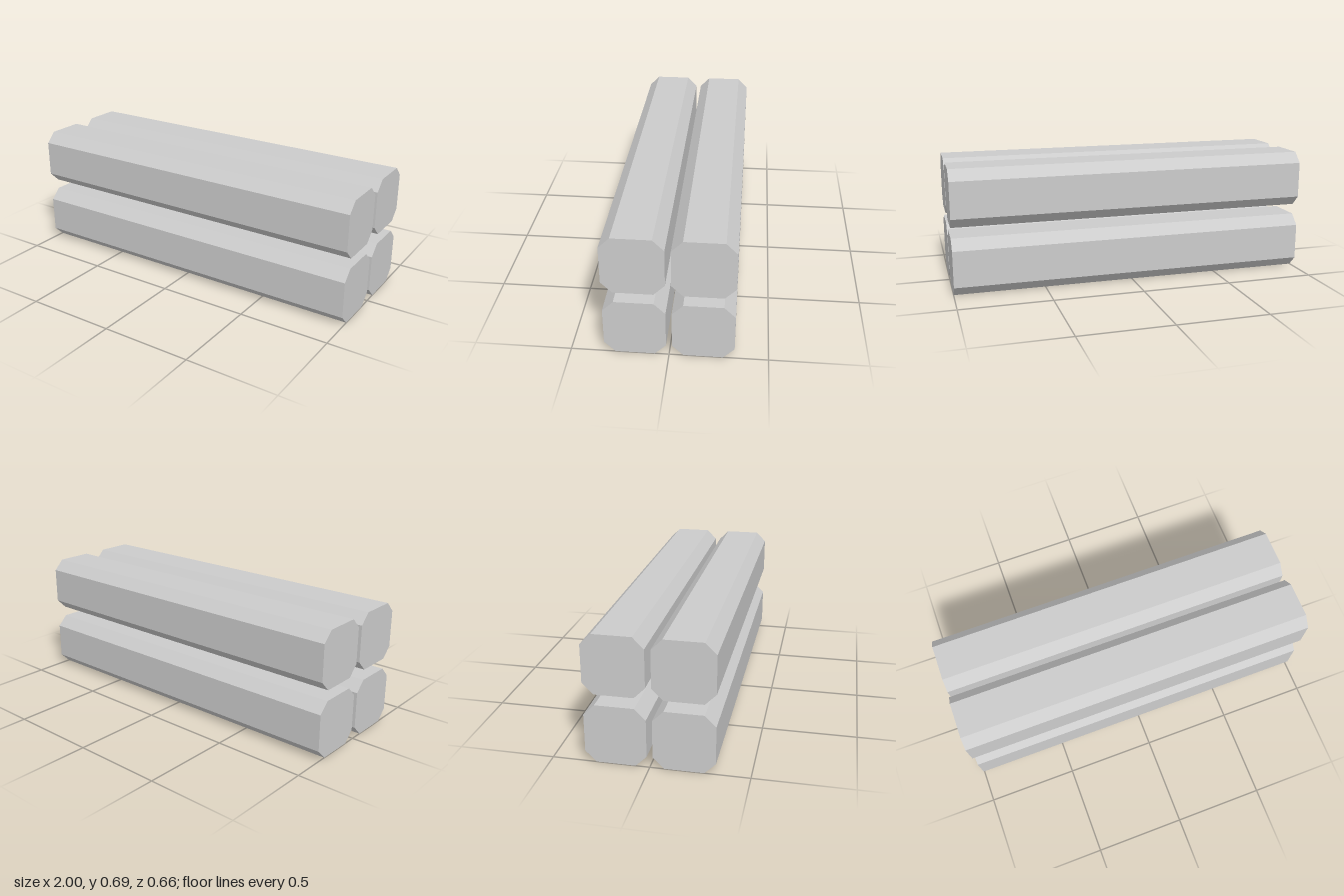
import * as THREE from 'three';

const LENGTH = 2, HALF = 0.157, CHAMFER = 0.057;

// Bar: a square section with cut corners, running along x
function barGeometry() {
  const a = HALF, b = HALF - CHAMFER;
  const section = new THREE.Shape([
    [a, -b], [a, b], [b, a], [-b, a], [-a, b], [-a, -b], [-b, -a], [b, -a],
  ].map(([x, y]) => new THREE.Vector2(x, y)));
  const geometry = new THREE.ExtrudeGeometry(section, { depth: LENGTH, bevelEnabled: false });
  geometry.translate(0, 0, -LENGTH / 2);
  geometry.rotateY(Math.PI / 2);
  return geometry;
}

export function createModel() {
  const model = new THREE.Group();
  model.name = 'barStack';
  const material = new THREE.MeshStandardMaterial({ color: 0xcccccc, flatShading: true });
  const geometry = barGeometry();

  // Two layers of two parallel bars
  for (const [layer, y] of [['lower', HALF], ['upper', 0.529]]) {
    for (const [side, z] of [['Front', 0.172], ['Back', -0.172]]) {
      const bar = new THREE.Mesh(geometry, material);
      bar.name = `${layer}${side}Bar`;
      bar.position.set(0, y, z);
      model.add(bar);
    }
  }
  return model;
}
